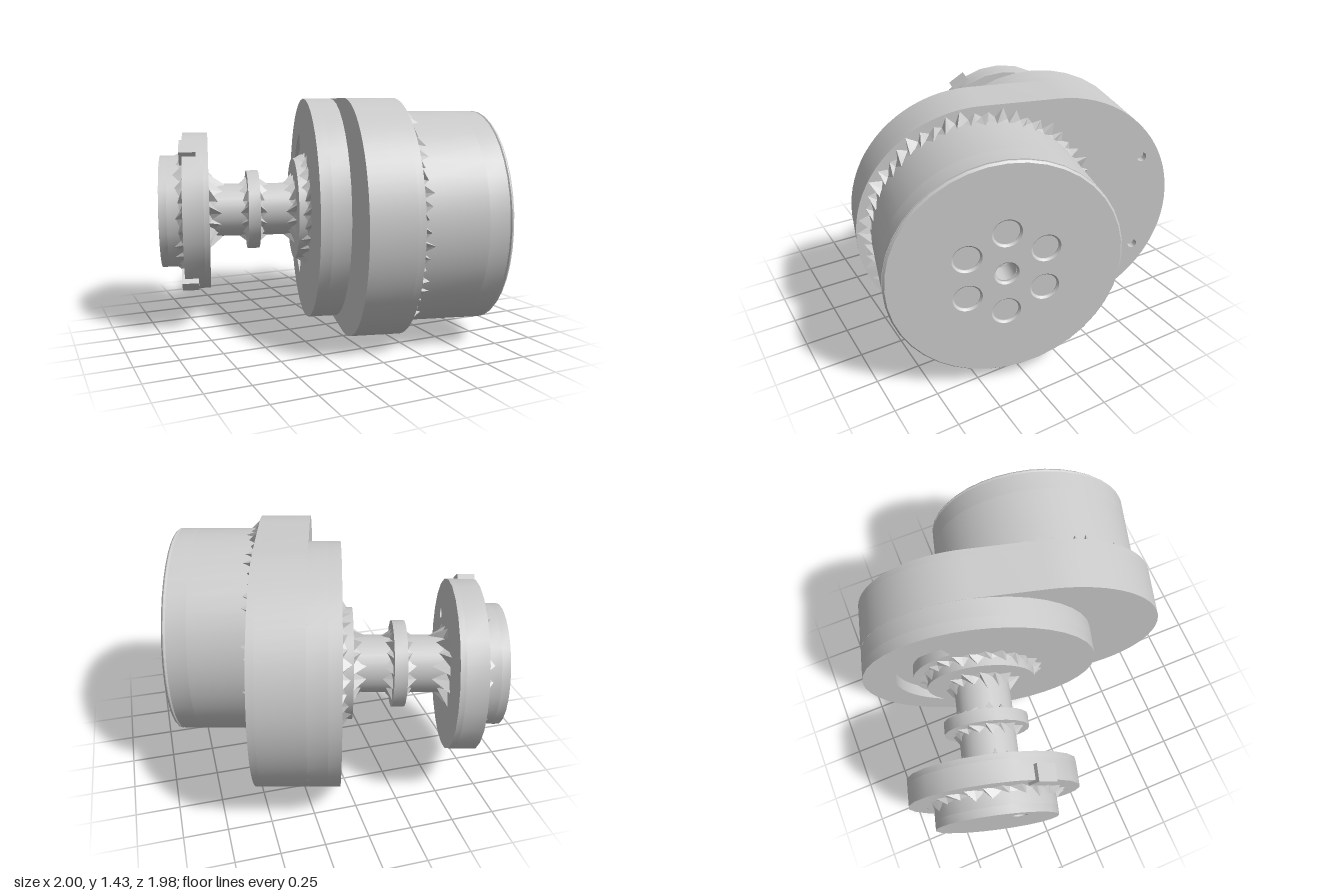
import * as THREE from 'three';
import { toCreasedNormals } from 'three/addons/utils/BufferGeometryUtils.js';

const grey = new THREE.MeshStandardMaterial({ color: 0xcccccc });
const grey2 = new THREE.MeshStandardMaterial({ color: 0xcccccc, side: THREE.DoubleSide, flatShading: true });

const SHAFT = 0.29;   // sideways offset of the output shaft
const MOTOR = -0.14;  // sideways offset of the motor

function circle(s, y, r) {
  return new THREE.Shape().absarc(s, y, r, 0, Math.PI * 2, false);
}

function hole(s, y, r) {
  return new THREE.Path().absarc(s, y, r, 0, Math.PI * 2, true);
}

// Extrudes a cross-section along the shaft direction from x = a0 to a1
function plate(parent, name, shape, a0, a1, holes = [], bevel = 0, segments = 20) {
  shape.holes.push(...holes);
  const geo = new THREE.ExtrudeGeometry(shape, {
    depth: a1 - a0 - 2 * bevel, curveSegments: segments,
    bevelEnabled: bevel > 0, bevelThickness: bevel, bevelSize: bevel, bevelOffset: -bevel, bevelSegments: 1,
  });
  geo.translate(0, 0, a0 + bevel);
  geo.rotateY(Math.PI / 2);
  const mesh = new THREE.Mesh(toCreasedNormals(geo, 0.5), grey);
  mesh.name = name;
  parent.add(mesh);
  return mesh;
}

// Jagged weld between a round part of radius r and the face at x = a; dir points away from the face
function weld(parent, name, s, r, a, dir, teeth, size) {
  const n = teeth * 2;
  const pos = [], idx = [];
  for (let i = 0; i < n; i++) {
    const t = (i / n) * Math.PI * 2;
    const big = i % 2 ? 1 : 0.25;
    const vary = 0.75 + 0.25 * Math.sin(i * 2.3);
    const ro = r + size * big * vary;
    const len = size * (i % 2 ? 0.35 : 1.1) * vary;
    pos.push(a, ro * Math.sin(t), -s + ro * Math.cos(t));
    pos.push(a + dir * len, r * Math.sin(t), -s + r * Math.cos(t));
    const j = (i + 1) % n;
    idx.push(2 * i, 2 * j, 2 * i + 1, 2 * j, 2 * j + 1, 2 * i + 1);
  }
  const geo = new THREE.BufferGeometry();
  geo.setAttribute('position', new THREE.Float32BufferAttribute(pos, 3));
  geo.setIndex(idx);
  geo.computeVertexNormals();
  const mesh = new THREE.Mesh(geo, grey2);
  mesh.name = name;
  parent.add(mesh);
}

export function createModel() {
  const model = new THREE.Group();
  model.name = 'gearMotor';
  const unit = new THREE.Group();
  unit.name = 'tiltedAssembly';
  unit.position.y = 0.717;
  unit.rotation.y = -Math.PI / 12;
  model.add(unit);

  // Gearbox housing: stadium outline around the motor and shaft axes
  const R = 0.715;
  const stadium = () => new THREE.Shape()
    .absarc(SHAFT, 0, R, -Math.PI / 2, Math.PI / 2, false)
    .absarc(MOTOR, 0, R, Math.PI / 2, Math.PI * 1.5, false);
  const screwHoles = [1, -1].map((k) => hole(SHAFT + 0.535, k * 0.3, 0.028));
  plate(unit, 'gearboxBody', stadium(), 0.08, 0.34);
  plate(unit, 'gearboxFace', stadium(), 0.34, 0.38, screwHoles);

  // Round gearbox cover with a half-ring groove
  const groove = new THREE.Path();
  groove.absarc(SHAFT, 0, 0.52, -1.2, 1.2, false);
  groove.absarc(SHAFT, 0, 0.41, 1.2, -1.2, true);
  groove.closePath();
  plate(unit, 'coverBase', circle(SHAFT, 0, R), -0.03, 0.08);
  plate(unit, 'coverFace', circle(SHAFT, 0, R), -0.1, -0.03, [groove]);

  // Motor can with a centre bore and a ring of shallow recesses
  const recesses = [];
  for (let i = 0; i < 6; i++) {
    const t = Math.PI / 2 + (i * Math.PI) / 3;
    recesses.push(hole(MOTOR + 0.24 * Math.cos(t), 0.24 * Math.sin(t), 0.07));
  }
  const bore = () => hole(MOTOR, 0, 0.058);
  plate(unit, 'motorCan', circle(MOTOR, 0, 0.637), 0.38, 0.76);
  plate(unit, 'motorEnd', circle(MOTOR, 0, 0.637), 0.76, 0.875, [bore()]);
  plate(unit, 'motorFace', circle(MOTOR, 0, 0.637), 0.875, 0.9, [bore(), ...recesses], 0.01);

  // Output shaft, its boss and collar
  plate(unit, 'shaftBoss', circle(SHAFT, 0, 0.33), -0.17, -0.1);
  plate(unit, 'shaft', circle(SHAFT, 0, 0.17), -0.73, -0.16, [], 0, 12);
  plate(unit, 'shaftCollar', circle(SHAFT, 0, 0.255), -0.475, -0.4, [], 0, 12);

  // Wheel with a small inner-face hole and a raised hub cap
  plate(unit, 'wheel', circle(SHAFT, 0, 0.5), -0.873, -0.75, [], 0, 12);
  plate(unit, 'wheelInnerFace', circle(SHAFT, 0, 0.5), -0.75, -0.718, [hole(SHAFT - 0.27, 0.2, 0.035)], 0, 12);
  plate(unit, 'hubCap', circle(SHAFT, 0, 0.357), -0.97, -0.87, [], 0, 12);
  plate(unit, 'hubCapFace', circle(SHAFT, 0, 0.357), -1.017, -0.97, [hole(SHAFT - 0.13, 0.22, 0.042)], 0, 12);

  // Small lugs on the wheel rim
  for (const k of [1, -1]) {
    const lug = new THREE.Mesh(new THREE.BoxGeometry(0.1, 0.1, 0.12), grey);
    lug.name = 'wheelLug';
    lug.position.set(-0.84, k * 0.39, -SHAFT + 0.27);
    lug.rotation.x = k * 0.6;
    unit.add(lug);
  }

  // Rough welds where the round parts meet flat faces
  weld(unit, 'motorWeld', MOTOR, 0.635, 0.38, 1, 56, 0.075);
  weld(unit, 'bossWeld', SHAFT, 0.328, -0.1, -1, 24, 0.06);
  weld(unit, 'shaftWeld', SHAFT, 0.168, -0.17, -1, 14, 0.08);
  weld(unit, 'collarWeld', SHAFT, 0.168, -0.4, 1, 14, 0.06);
  weld(unit, 'collarWeld', SHAFT, 0.168, -0.475, -1, 14, 0.06);
  weld(unit, 'wheelWeld', SHAFT, 0.168, -0.718, 1, 14, 0.1);
  weld(unit, 'hubWeld', SHAFT, 0.355, -0.873, -1, 24, 0.06);
  return model;
}
